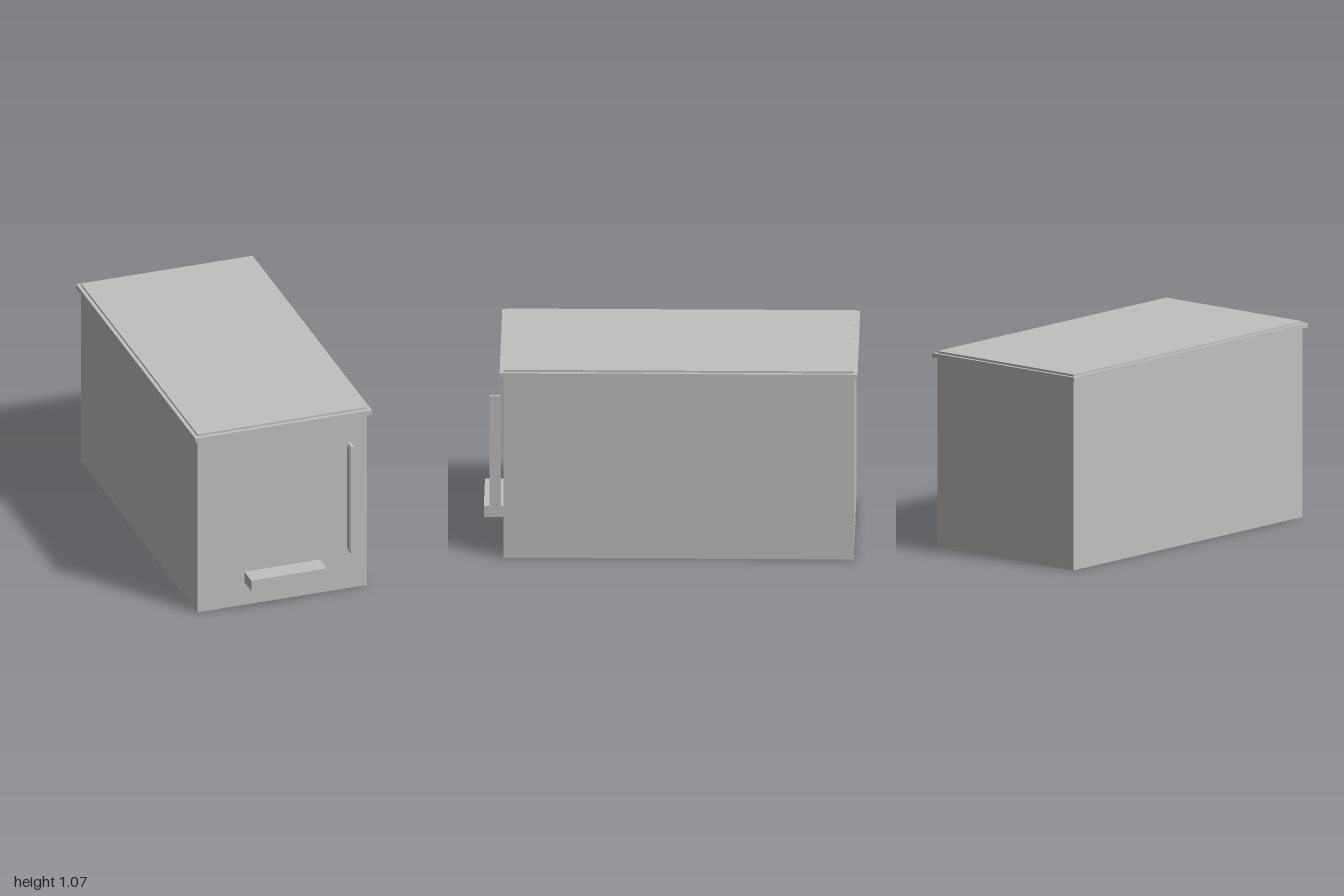
import * as THREE from 'three';

export function createModel() {
  const model = new THREE.Group();
  model.name = 'chest';
  const grey = new THREE.MeshStandardMaterial({ color: 0xc0c0c0, side: THREE.DoubleSide });
  grey.name = 'grey';

  // Adds a box given by its lower and upper corners
  function addBox(name, [x0, y0, z0], [x1, y1, z1]) {
    const geometry = new THREE.BoxGeometry(x1 - x0, y1 - y0, z1 - z0);
    geometry.translate((x0 + x1) / 2, (y0 + y1) / 2, (z0 + z1) / 2);
    const mesh = new THREE.Mesh(geometry, grey);
    mesh.name = name;
    model.add(mesh);
    return mesh;
  }

  // Thin-walled cabinet, open underneath: drop the bottom face of the box
  const body = addBox('body', [-0.48, 0, -0.98], [0.48, 1.068, 0.89]);
  const index = Array.from(body.geometry.index.array);
  index.splice(18, 6);
  body.geometry.setIndex(index);
  body.geometry.clearGroups();

  // Overhanging rim around the top
  addBox('lidRim', [-0.5, 1.032, -1], [0.5, 1.057, 0.912]);

  // Door handle bar with a thin inset strip along its side
  addBox('handle', [0.363, 0.243, 0.905], [0.383, 0.883, 0.968]);
  addBox('handleStrip', [0.359, 0.256, 0.91], [0.363, 0.87, 0.955]);

  // Foot pedal
  addBox('pedal', [-0.214, 0.136, 0.89], [0.214, 0.198, 1]);

  return model;
}
